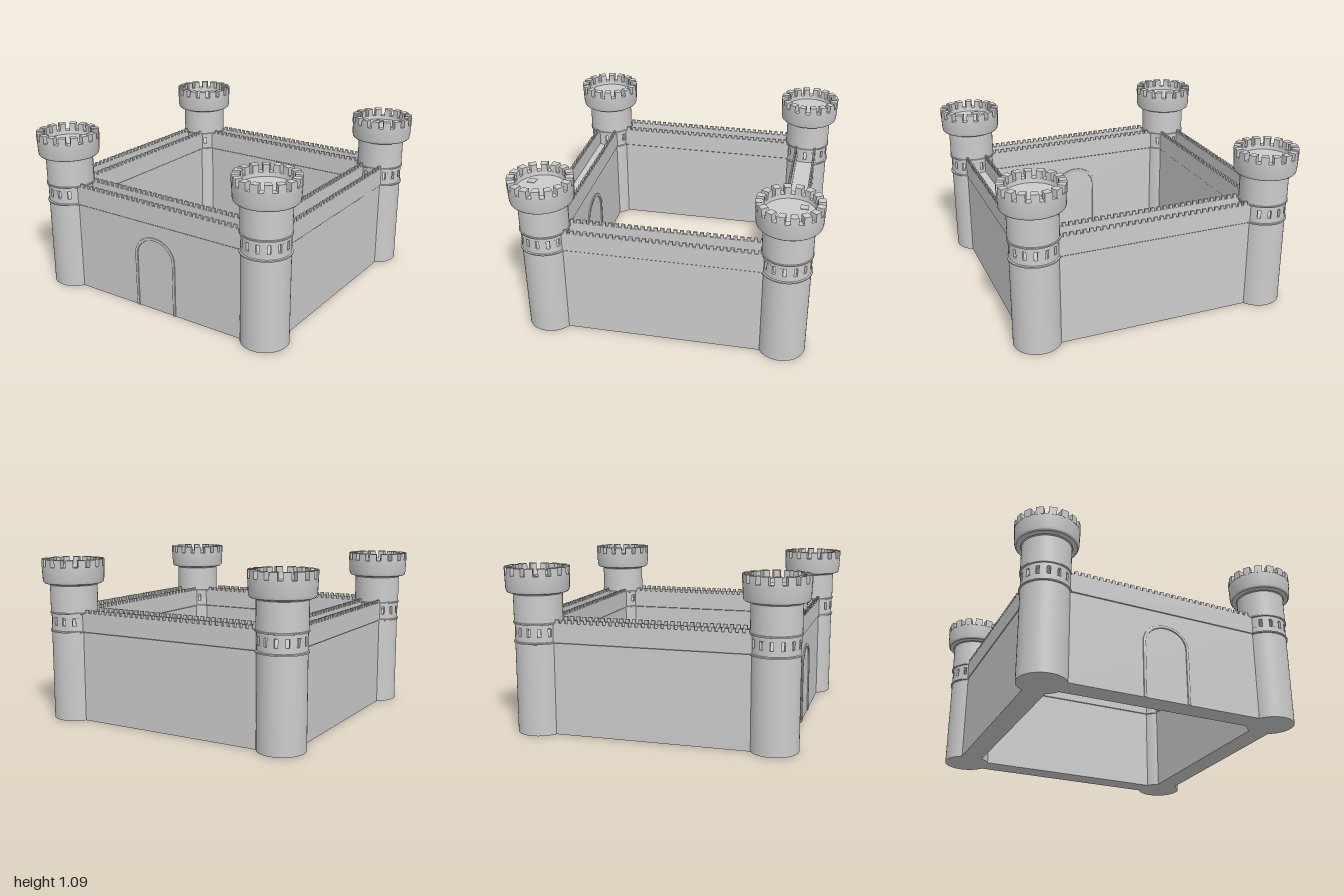
import * as THREE from 'three';
import { mergeGeometries, toCreasedNormals } from 'three/addons/utils/BufferGeometryUtils.js';

const TX = 0.79, TZ = 0.777;   // tower centres
const HALF = 0.665;            // half length of a wall
const W = 0.073;               // half thickness of a wall

const material = new THREE.MeshStandardMaterial({ color: 0xcccccc });

function add(parent, name, geometry) {
  const mesh = new THREE.Mesh(geometry, material);
  mesh.name = name;
  parent.add(mesh);
  return mesh;
}

function lathe(points) {
  const pts = points.map(([r, y]) => new THREE.Vector2(r, y));
  return toCreasedNormals(new THREE.LatheGeometry(pts, 48), 0.5);
}

// Block bent round the tower axis, from angle a0 to a1
function ringBlock(r0, r1, a0, a1, y, h) {
  const s = new THREE.Shape();
  s.absarc(0, 0, r1, a0, a1, false);
  s.absarc(0, 0, r0, a1, a0, true);
  const g = new THREE.ExtrudeGeometry(s, { depth: h, bevelEnabled: false, curveSegments: 4 });
  return g.rotateX(-Math.PI / 2).translate(0, y, 0);
}

function ringOfBlocks(count, r0, r1, gap, y, h) {
  const step = Math.PI * 2 / count, blocks = [];
  for (let i = 0; i < count; i++) {
    blocks.push(ringBlock(r0, r1, i * step + gap / 2, (i + 1) * step - gap / 2, y, h));
  }
  return toCreasedNormals(mergeGeometries(blocks), 0.4);
}

function makeTower() {
  const tower = new THREE.Group();
  // Shaft with the lower moulding and window sill
  add(tower, 'shaft', lathe([
    [0, 0], [0.154, 0], [0.154, 0.6], [0.163, 0.602], [0.163, 0.61],
    [0.154, 0.613], [0.154, 0.648], [0, 0.648],
  ]));
  // Piers leave narrow openings between them
  add(tower, 'windowPiers', ringOfBlocks(14, 0.135, 0.154, 0.14, 0.648, 0.054));
  // Upper moulding, neck, overhanging head and roof floor
  add(tower, 'head', lathe([
    [0, 0.702], [0.154, 0.702], [0.154, 0.724], [0.163, 0.726], [0.163, 0.734],
    [0.158, 0.737], [0.158, 0.915], [0.163, 0.921], [0.175, 0.924], [0.192, 0.926],
    [0.2, 0.934], [0.204, 0.95], [0.208, 1.04], [0.16, 1.04], [0.156, 1.015], [0, 1.015],
  ]));
  add(tower, 'towerMerlons', ringOfBlocks(16, 0.16, 0.209, 0.15, 1.035, 0.053));
  return tower;
}

// Wall along x whose outer side faces +z
function makeWall() {
  const wall = new THREE.Group();
  const p = W + 0.004, q = W - 0.012, walk = 0.625;
  const outline = [
    [-W, 0], [W, 0], [W, 0.604], [p, 0.608], [p, 0.735], [q, 0.735], [q, walk],
    [-q, walk], [-q, 0.735], [-p, 0.735], [-p, 0.608], [-W, 0.604],
  ];
  const shape = new THREE.Shape(outline.map(([z, y]) => new THREE.Vector2(-z, y)).reverse());
  const body = new THREE.ExtrudeGeometry(shape, { depth: 2 * HALF, bevelEnabled: false });
  add(wall, 'wallBody', body.translate(0, 0, -HALF).rotateY(Math.PI / 2));

  // Small merlons on both parapets
  const merlons = [], count = 30, pitch = 0.0425;
  for (const side of [-1, 1]) {
    for (let i = 0; i < count; i++) {
      const m = new THREE.BoxGeometry(0.024, 0.026, 0.015);
      merlons.push(m.translate((i - (count - 1) / 2) * pitch, 0.744, side * (p - 0.0075)));
    }
  }
  add(wall, 'wallMerlons', mergeGeometries(merlons));
  return wall;
}

// Arch outline: straight jambs with an elliptical top
function archPath(path, halfWidth, top) {
  const spring = 0.37;
  path.moveTo(-halfWidth, 0);
  path.lineTo(halfWidth, 0);
  path.lineTo(halfWidth, spring);
  path.absellipse(0, spring, halfWidth, top - spring, 0, Math.PI, false);
  path.lineTo(-halfWidth, 0);
  return path;
}

export function createModel() {
  const castle = new THREE.Group();
  castle.name = 'castle';

  // Corner towers
  for (const sx of [-1, 1]) {
    for (const sz of [-1, 1]) {
      const tower = makeTower();
      tower.name = (sz > 0 ? 'front' : 'back') + (sx > 0 ? 'Left' : 'Right') + 'Tower';
      tower.position.set(sx * TX, 0, sz * TZ);
      castle.add(tower);
      // Roof hatch
      const hatch = add(tower, 'roofHatch', new THREE.BoxGeometry(0.05, 0.006, 0.05));
      hatch.position.set(-sx * 0.06, 1.016, sz * 0.08);
    }
  }

  // Curtain walls
  ['frontWall', 'leftWall', 'backWall', 'rightWall'].forEach((name, i) => {
    const wall = makeWall(), a = i * Math.PI / 2;
    wall.name = name;
    wall.rotation.y = a;
    wall.position.set(Math.sin(a) * TX, 0, Math.cos(a) * TZ);
    castle.add(wall);
  });

  // Gate surround, standing proud of both faces of the front wall
  const frame = new THREE.Shape();
  const outer = archPath(new THREE.Path(), 0.158, 0.508).getPoints(24);
  const inner = archPath(new THREE.Path(), 0.144, 0.494).getPoints(24);
  frame.setFromPoints([...outer.slice(1, -1), outer[0], ...[inner[0], ...inner.slice(1, -1).reverse()]]);
  const depth = 2 * W + 0.008;
  const arch = new THREE.ExtrudeGeometry(frame, {
    depth, bevelEnabled: true, bevelSize: 0.003, bevelThickness: 0.004, bevelSegments: 2,
  });
  const gate = add(castle, 'gateArch', toCreasedNormals(arch, 0.6));
  gate.position.set(-0.005, 0.003, TZ - depth / 2);

  return castle;
}
